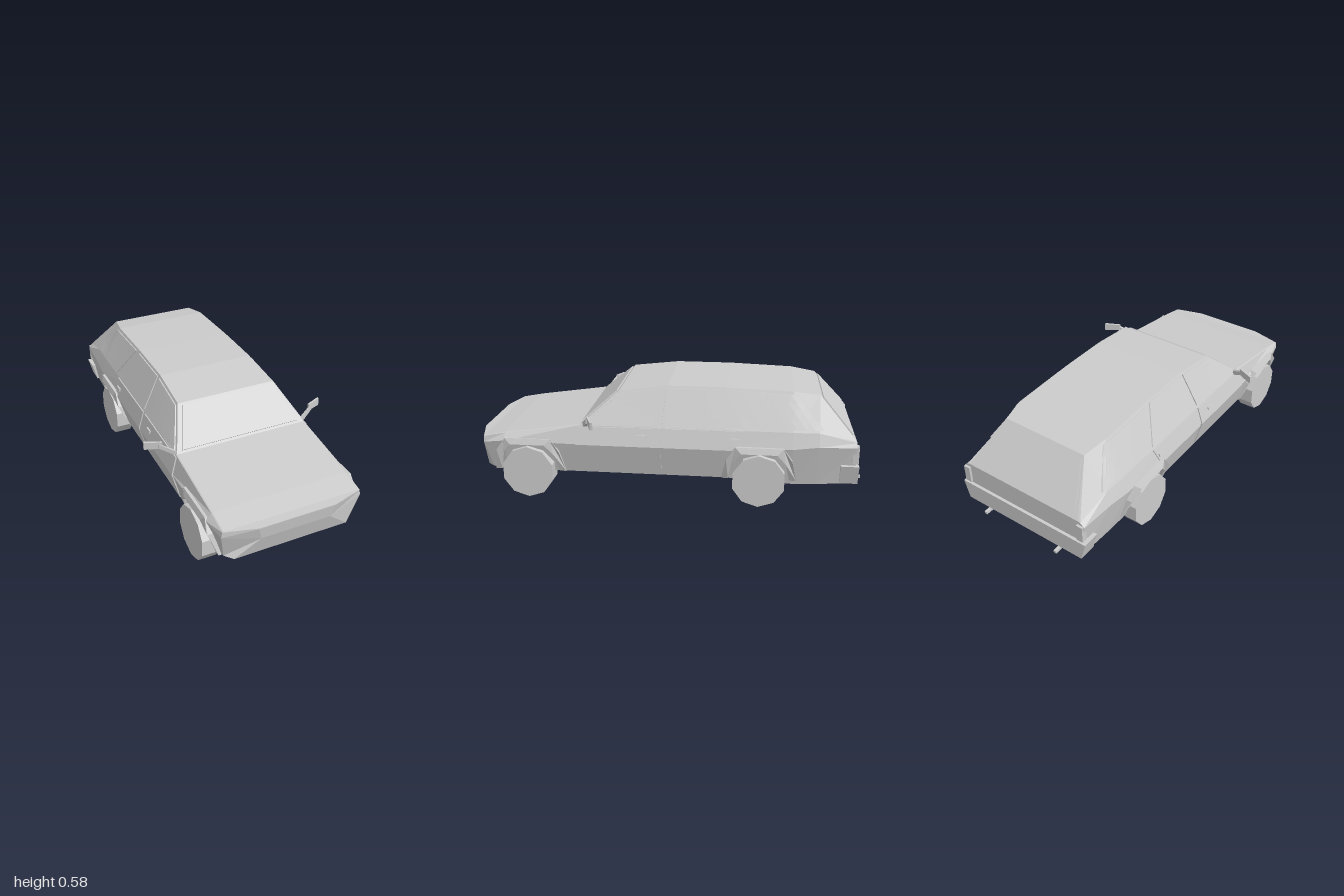
import * as THREE from 'three';

const material = new THREE.MeshStandardMaterial({ color: 0xcccccc, flatShading: true });

// Half cross-sections, front to back: floor edge, shoulder, belt, roof edge
const stations = [
  [[0.30, 0.135, 0.96], [0.18, 0.24, 0.99], [0.20, 0.308, 1.0], [0.20, 0.312, 1.0]],
  [[0.335, 0.135, 0.92], [0.365, 0.28, 0.955], [0.36, 0.311, 0.955], [0.355, 0.314, 0.955]],
  [[0.345, 0.13, 0.84], [0.39, 0.30, 0.84], [0.36, 0.333, 0.84], [0.355, 0.336, 0.84]],
  [[0.345, 0.13, 0.44], [0.39, 0.295, 0.44], [0.36, 0.39, 0.44], [0.355, 0.393, 0.44]],
  [[0.345, 0.13, 0.25], [0.39, 0.295, 0.25], [0.36, 0.39, 0.25], [0.268, 0.555, 0.25]],
  [[0.345, 0.13, 0], [0.39, 0.295, 0], [0.36, 0.39, 0], [0.26, 0.585, 0]],
  [[0.345, 0.13, -0.3], [0.39, 0.295, -0.3], [0.36, 0.39, -0.3], [0.26, 0.585, -0.3]],
  [[0.345, 0.11, -0.64], [0.388, 0.31, -0.64], [0.36, 0.39, -0.64], [0.26, 0.573, -0.64]],
  [[0.345, 0.115, -0.77], [0.382, 0.325, -0.77], [0.357, 0.39, -0.77], [0.238, 0.555, -0.77]],
  [[0.345, 0.13, -0.955], [0.372, 0.325, -0.955], [0.35, 0.345, -0.955], [0.335, 0.348, -0.955]],
];

// Width of the body side at a height and depth
function sideX(y, z) {
  let i = 2;
  while (i < stations.length - 2 && z < stations[i + 1][0][2]) i++;
  const a = stations[i], b = stations[i + 1];
  const t = (a[0][2] - z) / (a[0][2] - b[0][2]);
  const p = a.map((q, k) => [0, 1].map(c => q[c] + (b[k][c] - q[c]) * t));
  let k = 0;
  while (k < 2 && y > p[k + 1][1]) k++;
  const s = Math.min(1, Math.max(0, (y - p[k][1]) / (p[k + 1][1] - p[k][1])));
  return p[k][0] + (p[k + 1][0] - p[k][0]) * s;
}

// Lofted shell with capped nose and tail
function bodyGeometry() {
  const rings = stations.map(s => [...s, ...s.map(([x, y, z]) => [-x, y, z]).reverse()]);
  const pos = rings.flat(2), index = [];
  const quad = (a, b, c, d) => index.push(a, b, c, a, c, d);
  const last = (rings.length - 1) * 8;
  for (let i = 0; i < rings.length - 1; i++)
    for (let j = 0; j < 8; j++) {
      const k = (j + 1) % 8;
      quad(i * 8 + j, i * 8 + 8 + j, i * 8 + 8 + k, i * 8 + k);
    }
  for (let j = 0; j < 3; j++) {
    quad(j, j + 1, 6 - j, 7 - j);
    quad(last + j, last + 7 - j, last + 6 - j, last + j + 1);
  }
  const g = new THREE.BufferGeometry();
  g.setAttribute('position', new THREE.Float32BufferAttribute(pos, 3));
  g.setIndex(index);
  return g;
}

// Move each vertex by a rule
function reshape(g, rule) {
  const p = g.attributes.position;
  for (let i = 0; i < p.count; i++) p.setXYZ(i, ...rule(p.getX(i), p.getY(i), p.getZ(i)));
  return g;
}

function mirrored(g) {
  const m = g.index ? g.toNonIndexed() : g.clone();
  m.scale(-1, 1, 1);
  const p = m.attributes.position, a = new THREE.Vector3(), b = new THREE.Vector3();
  for (let i = 0; i < p.count; i += 3) {
    a.fromBufferAttribute(p, i + 1);
    b.fromBufferAttribute(p, i + 2);
    p.setXYZ(i + 1, b.x, b.y, b.z);
    p.setXYZ(i + 2, a.x, a.y, a.z);
  }
  m.computeVertexNormals();
  return m;
}

// Corner order: lower start, lower end, upper end, upper start
const blend = (c, u, v, k) =>
  (c[0][k] * (1 - u) + c[1][k] * u) * (1 - v) + (c[3][k] * (1 - u) + c[2][k] * u) * v;

// Thin panel following the body side; corners are [z, y]
function sidePanel(corners, raise = 0.006) {
  return reshape(new THREE.BoxGeometry(1, 1, 1, 8, 4, 1), (x, y, o) => {
    const z = blend(corners, x + 0.5, y + 0.5, 0), h = blend(corners, x + 0.5, y + 0.5, 1);
    return [sideX(h, z) + (o > 0 ? raise : -0.01), h, z];
  });
}

// Flat glass plate between four corners
function plate(corners) {
  const c = corners.map(p => new THREE.Vector3(...p));
  const n = c[1].clone().sub(c[0]).cross(c[3].clone().sub(c[0])).normalize();
  return reshape(new THREE.BoxGeometry(1, 1, 1), (x, y, o) =>
    [0, 1, 2].map(k => blend(corners, x + 0.5, y + 0.5, k) + n.getComponent(k) * (o > 0 ? 0.006 : -0.008)));
}

// Wheel arch: angular hoop narrowing towards the sill
function arch(z, width) {
  const shape = new THREE.Shape([[-0.19, 0.13], [-0.165, 0.25], [-0.12, 0.315], [0.12, 0.315], [0.165, 0.25],
    [0.19, 0.13], [0.155, 0.13], [0.135, 0.23], [0.09, 0.285], [-0.09, 0.285], [-0.135, 0.23], [-0.155, 0.13]]
    .map(p => new THREE.Vector2(...p)));
  const g = new THREE.ExtrudeGeometry(shape, { depth: 1, bevelEnabled: false }).rotateY(Math.PI / 2);
  return reshape(g, (x, y, w) => {
    const edge = 0.352 + (width - 0.352) * Math.min(1, (y - 0.13) / 0.14) - (y > 0.3 ? 0.012 : 0);
    return [x > 0.5 ? edge : 0.31, y, z + w];
  });
}

const box = (w, h, d, x, y, z) => new THREE.BoxGeometry(w, h, d).translate(x, y, z);

export function createModel() {
  const model = new THREE.Group();
  const add = (name, g) => {
    g.computeVertexNormals();
    const m = new THREE.Mesh(g, material);
    m.name = name;
    model.add(m);
  };
  const pair = (name, g) => {
    add(name + 'Left', g);
    add(name + 'Right', mirrored(g));
  };

  add('body', bodyGeometry());

  // Glass
  add('windshield', plate([[-0.325, 0.402, 0.43], [0.325, 0.402, 0.43], [0.25, 0.546, 0.262], [-0.25, 0.546, 0.262]]));
  add('tailgateWindow', plate([[0.31, 0.372, -0.934], [-0.31, 0.372, -0.934], [-0.232, 0.54, -0.784], [0.232, 0.54, -0.784]]));
  pair('frontWindow', sidePanel([[0.41, 0.402], [0.02, 0.402], [0.005, 0.572], [0.245, 0.544]]));
  pair('rearWindow', sidePanel([[0, 0.402], [-0.395, 0.402], [-0.295, 0.574], [-0.015, 0.574]]));
  pair('quarterWindow', sidePanel([[-0.44, 0.402], [-0.79, 0.402], [-0.665, 0.558], [-0.335, 0.572]]));

  // Doors, split at the shoulder crease
  pair('frontDoorLower', sidePanel([[0.468, 0.15], [0.022, 0.15], [0.022, 0.295], [0.462, 0.295]]));
  pair('frontDoorUpper', sidePanel([[0.462, 0.295], [0.022, 0.295], [0.02, 0.388], [0.45, 0.384]]));
  pair('rearDoorLower', sidePanel([[0.005, 0.15], [-0.3, 0.15], [-0.365, 0.295], [0.005, 0.295]]));
  pair('rearDoorUpper', sidePanel([[0.005, 0.295], [-0.365, 0.295], [-0.4, 0.388], [0.003, 0.388]]));
  for (const [name, z] of [['frontHandle', 0.12], ['rearHandle', -0.35]])
    pair(name, sidePanel([[z + 0.023, 0.34], [z - 0.023, 0.34], [z - 0.023, 0.354], [z + 0.023, 0.354]], 0.014));

  // Wheels and arches
  for (const [end, z, width] of [['front', 0.715, 0.402], ['rear', -0.475, 0.413]]) {
    const wheel = new THREE.CylinderGeometry(0.137, 0.137, 0.092, 10)
      .rotateY(Math.PI / 2).rotateZ(Math.PI / 2).translate(0.361, 0.138, z);
    pair(end + 'Wheel', wheel);
    pair(end + 'Arch', arch(z, width));
  }

  // Door mirrors: slanted arm and a wedge head
  const arm = reshape(new THREE.BoxGeometry(1, 1, 1), (x, y, z) =>
    x < 0 ? [0.35, 0.388 + y * 0.024, 0.42 + z * 0.02] : [0.43, 0.432 + y * 0.024, 0.388 + z * 0.012]);
  const head = reshape(new THREE.BoxGeometry(1, 1, 1), (x, y, z) =>
    x < 0 ? [0.412, 0.434 + y * 0.036, 0.388 + z * 0.012] : [0.494, 0.43 + y * 0.04, 0.352 + z * 0.014]);
  pair('mirrorArm', arm);
  pair('mirrorHead', head);

  // Rear bumper, lamps and exhaust pipes
  add('rearBumper', reshape(box(0.75, 0.1, 0.09, 0, 0.18, -0.925), (x, y, z) =>
    [x * (y < 0.18 ? 0.95 : 1.02), y, z]));
  pair('tailLamp', box(0.035, 0.09, 0.03, 0.35, 0.285, -0.952));
  pair('exhaustPipe', box(0.016, 0.014, 0.15, 0.222, 0.118, -0.925));
  return model;
}
